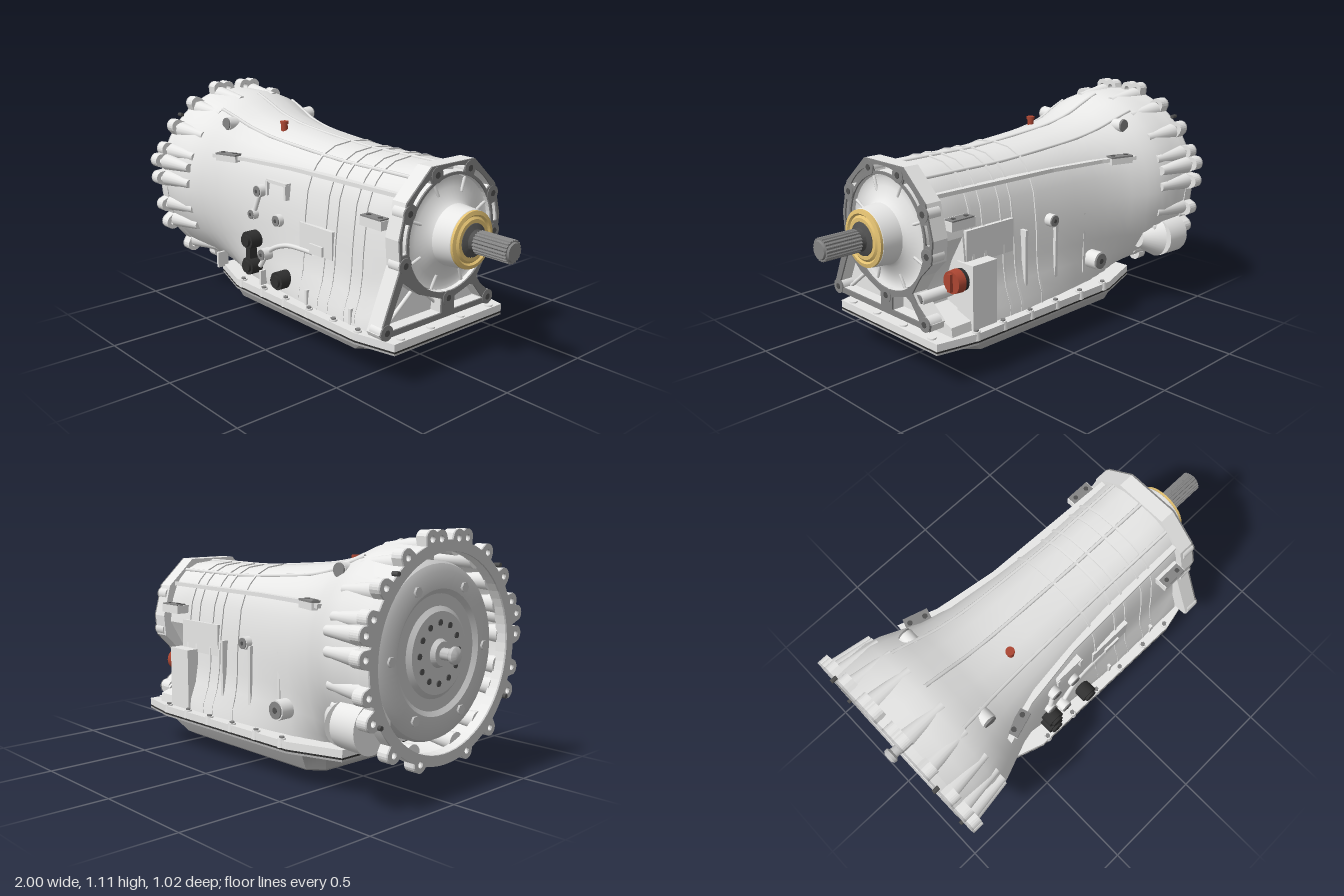
import * as THREE from 'three';
import { toCreasedNormals } from 'three/addons/utils/BufferGeometryUtils.js';

const mat = (name, color, side = THREE.FrontSide) => {
  const m = new THREE.MeshStandardMaterial({ color, side });
  m.name = name;
  return m;
};
const AXIS = 0.61; // height of the shaft line
const V = (x, y, z) => new THREE.Vector3(x, y, z);

// Skin between matching closed sections
function loft(sections, capStart, capEnd, crease = 0.6) {
  const n = sections[0].length, pos = [];
  const tri = (...p) => p.forEach(v => pos.push(v.x, v.y, v.z));
  const cap = (s, flip) => {
    const c = s.reduce((a, p) => a.add(p), V(0, 0, 0)).divideScalar(n);
    s.forEach((p, j) => flip ? tri(c, s[(j + 1) % n], p) : tri(c, p, s[(j + 1) % n]));
  };
  for (let i = 0; i + 1 < sections.length; i++) for (let j = 0; j < n; j++) {
    const k = (j + 1) % n, A = sections[i], B = sections[i + 1];
    tri(A[j], A[k], B[k]);
    tri(A[j], B[k], B[j]);
  }
  if (capStart) cap(sections[0], true);
  if (capEnd) cap(sections[sections.length - 1], false);
  const g = new THREE.BufferGeometry();
  g.setAttribute('position', new THREE.Float32BufferAttribute(pos, 3));
  return toCreasedNormals(g, crease);
}

// Case cross-section: round bell blending into a skirted gearbox
const CASE = [[0, .905], [.1, .895], [.165, .865], [.205, .825], [.228, .79], [.255, .72], [.27, .61],
  [.28, .52], [.285, .43], [.3, .34], [.33, .26], [.34, .17], [0, .17]];
const BLEND = [[-.9, 0], [-.74, .02], [-.67, .13], [-.6, .3], [-.5, .54], [-.35, .75], [-.1, .9], [.15, 1], [.6, 1]];
function blendAt(x) {
  for (let i = 1; i < BLEND.length; i++) if (x <= BLEND[i][0]) {
    const [a, p] = BLEND[i - 1], [b, q] = BLEND[i];
    return p + (q - p) * (x - a) / (b - a);
  }
  return 1;
}
function casePoint(x, k, grow = 0) {
  const t = blendAt(x), a = k * Math.PI / 12, [cz, cy] = CASE[k];
  return V(x, (.615 + .455 * Math.cos(a)) * (1 - t) + cy * t + grow * Math.cos(a),
    .455 * Math.sin(a) * (1 - t) + cz * t + grow * Math.sin(a));
}
function caseSection(x, grow = 0) {
  const half = CASE.map((_, k) => casePoint(x, k, grow));
  return [...half, ...half.slice(1, -1).reverse().map(p => V(p.x, p.y, -p.z))];
}

const poly = pts => new THREE.Shape(pts.map(p => new THREE.Vector2(...p)));
const circle = (u, v, r) => new THREE.Path().absarc(u, v, r, 0, Math.PI * 2, true);
// Plate facing along x; the outline is in (-z, y)
const plateX = (shape, x, d) => new THREE.ExtrudeGeometry(shape, { depth: d, bevelEnabled: false, curveSegments: 32 })
  .rotateY(Math.PI / 2).translate(x, 0, 0);
// Level plate; the outline is in (x, -z)
const plateY = (shape, y, d) => new THREE.ExtrudeGeometry(shape, { depth: d, bevelEnabled: false })
  .rotateX(-Math.PI / 2).translate(0, y, 0);
// Turned part on the shaft line; profile is [radius, x]
const turned = (profile, seg = 48) => toCreasedNormals(
  new THREE.LatheGeometry(profile.map(p => new THREE.Vector2(...p)), seg).rotateZ(-Math.PI / 2).translate(0, AXIS, 0), .6);

export function createModel() {
  const alloy = mat('cast alloy', 0xf2f2f1, THREE.DoubleSide), machined = mat('machined grey', 0x858585);
  const panGrey = mat('pan grey', 0xb0b0b0), steel = mat('steel', 0xc4c4c4, THREE.DoubleSide);
  const darkSteel = mat('dark steel', 0x505050), gold = mat('brass', 0xe4c272, THREE.DoubleSide);
  const red = mat('red plastic', 0xac4632), black = mat('black rubber', 0x303030);
  const root = new THREE.Group();
  const add = (name, geo, m) => {
    const o = new THREE.Mesh(geo, m);
    o.name = name;
    root.add(o);
    return o;
  };
  const box = (name, m, w, h, d, x, y, z) => add(name, new THREE.BoxGeometry(w, h, d).translate(x, y, z), m);
  const rod = (name, m, a, b, ra, rb = ra, seg = 20) => { // cylinder from a to b
    const d = b.clone().sub(a), o = add(name, new THREE.CylinderGeometry(rb, ra, d.length(), seg), m);
    o.position.copy(a).addScaledVector(d, .5);
    o.quaternion.setFromUnitVectors(V(0, 1, 0), d.normalize());
  };

  // Main case, with a neck behind it that is notched for the red plug
  const stations = [-.9, -.82, -.74, -.7, -.67, -.63, -.6, -.55, -.5, -.42, -.35, -.22, -.1, .15, .3, .47];
  add('caseShell', loft(stations.map(x => caseSection(x)), false, true), alloy);
  const neck = [...CASE.slice().reverse().map(([z, y]) => [-z, y]), ...CASE.slice(1, 7),
    [.2, .49], [.16, .39], [.17, .3], [.33, .25], [.34, .17]];
  add('caseNeck', toCreasedNormals(plateX(poly(neck), .465, .125), .6), alloy);
  for (const x of [.03, .17, .24, .35, .42])
    add('caseHoopRib', loft([-.006, .006].map(d => caseSection(x + d, .006)), true, true), alloy);
  for (const [k, s] of [[0, 1], [2, 1], [2, -1]]) {
    const path = new THREE.CatmullRomCurve3([-.7, -.6, -.5, -.35, -.1, .15, .4, .59].map(x => {
      const p = casePoint(x, k);
      return V(p.x, p.y, p.z * s);
    }));
    add('caseLongRib', new THREE.TubeGeometry(path, 30, .009, 6), alloy);
  }
  const railEdge = [[-.58, .37], [-.4, .305], [-.1, .262], [.59, .24]];
  add('sideRail', plateY(poly([...railEdge.map(([x, z]) => [x, -z]), ...railEdge.slice().reverse()]), .79, .018), alloy);

  // Bell flange with bolt ears, and the scallops running back from them
  const ears = [];
  for (const [u, y] of [[.055, 1.07], [.11, 1.07], [.25, 1.005], [.37, .9], [.435, .79], [.475, .735], [.475, .645],
    [.455, .5], [.43, .4], [.31, .255], [.15, .185]]) ears.push([u, y - AXIS], [-u, y - AXIS]);
  const outline = [];
  for (let i = 0; i < 360; i++) {
    const a = i * Math.PI / 180, c = Math.cos(a), s = Math.sin(a);
    let r = .455;
    for (const [u, v] of ears) {
      const along = u * c + v * s, off = u * s - v * c;
      if (along > 0 && Math.abs(off) < .036) r = Math.max(r, along + Math.sqrt(.036 ** 2 - off * off));
    }
    outline.push([r * c, r * s + AXIS]);
  }
  const flange = poly(outline);
  flange.holes.push(circle(0, AXIS, .41), ...ears.map(([u, v]) => circle(u, v + AXIS, .014)));
  add('bellFlange', plateX(flange, -.937, .047), alloy);
  add('bellFlangeFace', plateX(flange, -.945, .008), steel);
  for (const [u, v] of ears) if (Math.abs(u) > .06)
    rod('bellScallop', alloy, V(-.895, AXIS + v * .93, -u * .93), V(-.7, AXIS + v * .91, -u * .91), .042, .022, 16);
  for (const [y, z] of [[.95, .32], [.38, -.4], [.38, .4], [.95, -.32]])
    rod('dowel', darkSteel, V(-.96, y, z), V(-.93, y, z), .01, .01, 10);
  rod('starterHump', alloy, V(-.89, .36, -.375), V(-.76, .36, -.375), .105, .1, 32);
  rod('starterHumpEnd', alloy, V(-.76, .36, -.375), V(-.66, .37, -.34), .1, .05, 32);

  // Torque converter inside the bell
  add('converter', turned([[0, -.925], [.05, -.925], [.06, -.905], [.17, -.905], [.19, -.89], [.24, -.89], [.26, -.905],
    [.33, -.905], [.36, -.89], [.37, -.87], [.37, -.8], [.28, -.72], [0, -.7]].reverse(), 64), steel);
  add('converterNose', turned([[0, -.92], [.025, -.92], [.025, -.965], [.036, -.975], [.036, -.99], [.02, -1], [0, -1]], 24), steel);
  for (let i = 0; i < 12; i++) {
    const a = i * Math.PI / 6, y = AXIS + Math.sin(a) * .125, z = Math.cos(a) * .125;
    rod('converterHole', darkSteel, V(-.909, y, z), V(-.9, y, z), .013);
    if (i % 2) continue;
    const y2 = AXIS + Math.sin(a) * .295, z2 = Math.cos(a) * .295;
    rod('converterBolt', steel, V(-.915, y2, z2), V(-.9, y2, z2), .022, .022, 6);
  }

  // Rear flange: slotted ring on a triangular foot
  const foot = [[-.13, .918], [-.27, .79], [-.31, .64], [-.3, .52], [-.41, .26], [-.4, .24], [.28, .24], [.285, .27],
    [.2, .34], [.17, .38], [.23, .47], [.3, .54], [.31, .64], [.27, .79], [.13, .918]];
  add('rearWall', plateX(poly(foot), .585, .02), alloy);
  const ring = poly(foot);
  ring.holes.push(circle(0, AXIS, .255), poly([[-.285, .46], [-.365, .285], [-.35, .265], [-.05, .265], [-.05, .33], [-.19, .385]]),
    poly([[.03, .325], [.13, .355], [.16, .34], [.22, .265], [.03, .265]]));
  for (const [mid, w] of [[90, 14], [49, 13], [131, 13], [174, 13], [10, 9]]) {
    const a = (mid - w) * Math.PI / 180, b = (mid + w) * Math.PI / 180;
    ring.holes.push(new THREE.Path().absarc(0, AXIS, .294, a, b, false).absarc(0, AXIS, .267, b, a, true));
  }
  add('rearFlange', plateX(ring, .6, .06), alloy);
  add('rearFlangeFace', plateX(ring, .66, .008), machined);
  for (const [u, y] of [[-.1, .88], [.1, .88], [-.255, .745], [.255, .745], [-.275, .53], [.275, .57], [-.01, .325],
    [-.375, .265], [.25, .265]]) {
    rod('rearBoss', alloy, V(.6, y, -u), V(.664, y, -u), .034);
    rod('rearBossFace', machined, V(.664, y, -u), V(.671, y, -u), .034);
    rod('rearBoltHole', darkSteel, V(.66, y, -u), V(.673, y, -u), .014);
  }
  rod('footRib', alloy, V(.62, .4, .17), V(.62, .265, .34), .009);
  rod('footRib', alloy, V(.62, .35, .1), V(.62, .265, 0), .007);

  // Rear cover, seal and splined output shaft
  add('rearCover', turned([[.257, .61], [.25, .645], [.235, .64], [.2, .645], [.15, .665], [.135, .68], [.127, .77], [.118, .778], [.07, .778]]), alloy);
  for (let i = 0; i < 8; i++) {
    const a = (i + .5) * Math.PI / 4, c = Math.cos(a), s = Math.sin(a);
    rod('coverRib', alloy, V(.645, AXIS + s * .25, c * .25), V(.65, AXIS + s * .185, c * .185), .007, .007, 6);
  }
  add('brassSeal', turned([[.125, .768], [.125, .784], [.108, .788], [.1, .78], [.09, .788], [.074, .788], [.072, .77]]), gold);
  add('shaftHub', turned([[.075, .77], [.073, .79], [.05, .8], [.045, .81], [.045, .84], [0, .84]]), darkSteel);
  const teeth = [];
  for (let i = 0; i < 80; i++) {
    const a = i * Math.PI / 40, r = i % 4 < 2 ? .051 : .046;
    teeth.push([r * Math.cos(a), AXIS + r * Math.sin(a)]);
  }
  add('outputShaft', plateX(poly(teeth), .82, .172), machined);
  rod('shaftTip', machined, V(.985, AXIS, 0), V(1, AXIS, 0), .045, .038, 24);

  // Pan rail, gasket, oil pan and sump
  const railShape = poly([[-.65, -.29], [-.4, -.375], [.48, -.385], [.68, -.34], [.68, .34], [.48, .38], [-.4, .375], [-.65, .29]]);
  add('panRail', plateY(railShape, .174, .034), alloy);
  add('panGasket', plateY(railShape, .166, .008), black);
  add('panLip', plateY(railShape, .157, .009), panGrey);
  const tray = (y, x0, x1, w, c) => [[x1, -w + c], [x1, w - c], [x1 - c, w], [x0 + c, w], [x0, w - c], [x0, -w + c],
    [x0 + c, -w], [x1 - c, -w]].map(([x, z]) => V(x, y, z));
  add('oilPan', loft([tray(.16, -.54, .56, .34, .07), tray(.145, -.53, .55, .335, .07), tray(.085, -.51, .46, .305, .06),
    tray(.07, -.49, .43, .28, .06)], false, true, .3), panGrey);
  add('panSump', loft([tray(.075, -.11, .29, .18, .03), tray(.03, -.01, .24, .12, .03), tray(.015, .01, .2, .09, .02)], false, true, .3), panGrey);
  rod('drainPlug', machined, V(.1, .02, 0), V(.1, 0, 0), .02, .02, 6);
  for (const s of [-1, 1]) for (const x of [-.36, -.19, -.02, .15, .32, .48]) {
    rod('railLug', alloy, V(x, .175, s * .362), V(x, .215, s * .362), .022, .018, 12);
    rod('railBolt', machined, V(x, .21, s * .362), V(x, .222, s * .362), .012, .012, 6);
  }
  for (const z of [-.28, -.09, .1, .28]) rod('railLug', alloy, V(.655, .175, z), V(.655, .215, z), .022, .018, 12);
  for (const x of [-.62, -.25, .1, .4]) box('skirtWeb', alloy, .014, .08, .06, x, .24, .31);

  // Lugs and bosses on both sides
  for (const s of [-1, 1]) {
    const place = (o, x, y, z, turn) => {
      o.position.set(x, y, s * z);
      o.rotation.y = s * turn;
    };
    place(box('frontLug', alloy, .12, .03, .06, 0, 0, 0), -.5, .795, .325, .3);
    place(box('frontLugFace', machined, .12, .008, .06, 0, 0, 0), -.5, .814, .325, .3);
    place(box('rearLug', alloy, .13, .04, .07, 0, 0, 0), .51, .685, .29, 0);
    place(box('rearLugFace', machined, .12, .006, .05, 0, 0, 0), .51, .708, .3, 0);
    for (const dx of [-.035, .035]) {
      rod('lugHole', darkSteel, V(-.5 + dx, .81, s * (.325 - dx * .3)), V(-.5 + dx, .82, s * (.325 - dx * .3)), .012);
      rod('lugHole', darkSteel, V(.51 + dx, .705, s * .3), V(.51 + dx, .713, s * .3), .011);
    }
    rod('upperBoss', alloy, V(-.6, .93, s * .15), V(-.6, .94, s * .265), .034);
    rod('upperBossFace', machined, V(-.6, .94, s * .262), V(-.6, .94, s * .272), .03);
  }
  for (const [x, y, r, z] of [[-.27, .67, .03, .33], [-.31, .55, .026, .34], [-.14, .55, .03, .32], [-.22, .37, .03, .35],
    [-.05, .58, .03, -.32], [-.33, .33, .045, -.37]]) {
    rod('sideBoss', alloy, V(x, y, z * .6), V(x, y, z), r);
    rod('sideBossFace', machined, V(x, y, z * .98), V(x, y, z * 1.015), r * .85);
    rod('sideBossHole', darkSteel, V(x, y, z), V(x, y, z * 1.02), r * .3);
  }
  rod('bossLink', alloy, V(-.27, .67, .31), V(-.31, .55, .325), .012);

  // Raised cast panels on the left wall
  box('panelFrameTop', alloy, .15, .016, .04, -.16, .725, .28);
  for (const x of [-.23, -.09]) box('panelFrameSide', alloy, .014, .07, .04, x, .69, .285);
  box('sidePad', alloy, .23, .13, .05, .12, .51, .27);
  box('sidePadStep', alloy, .09, .045, .04, .13, .47, .285);
  add('archRib', new THREE.TubeGeometry(new THREE.CatmullRomCurve3([V(-.26, .3, .33), V(-.2, .39, .315), V(-.1, .435, .298),
    V(.02, .445, .292), V(.1, .445, .29)]), 24, .012, 8), alloy);
  // Webs and pad on the right wall
  for (const x of [-.28, -.08, .12]) box('rightWallWeb', alloy, .016, .3, .05, x, .42, -.285);
  box('rightWallPad', alloy, .28, .15, .04, .32, .56, -.265);

  // Black connectors, red vent and red plug
  for (const [x, y] of [[-.31, .425], [-.31, .295], [-.08, .28]]) {
    rod('connector', black, V(x, y, .26), V(x, y, .37), .043);
    rod('connectorCap', black, V(x, y, .37), V(x, y, .383), .03);
  }
  box('connectorBar', black, .035, .13, .04, -.31, .36, .345);
  rod('ventStem', red, V(-.335, .89, .11), V(-.335, .965, .11), .016);
  rod('ventCap', red, V(-.335, .958, .11), V(-.335, .972, .11), .02);
  box('plugBlock', alloy, .14, .3, .1, .41, .35, -.295);
  rod('plugCollar', black, V(.47, .425, -.275), V(.5, .425, -.275), .05, .05, 28);
  rod('redPlug', red, V(.5, .425, -.275), V(.54, .425, -.275), .053, .05, 28);
  box('redPlugGrip', red, .02, .08, .02, .545, .425, -.275);
  rod('smallPlug', alloy, V(.47, .35, -.185), V(.64, .35, -.185), .028);
  rod('smallPlugFace', machined, V(.64, .35, -.185), V(.647, .35, -.185), .022);
  return root;
}
